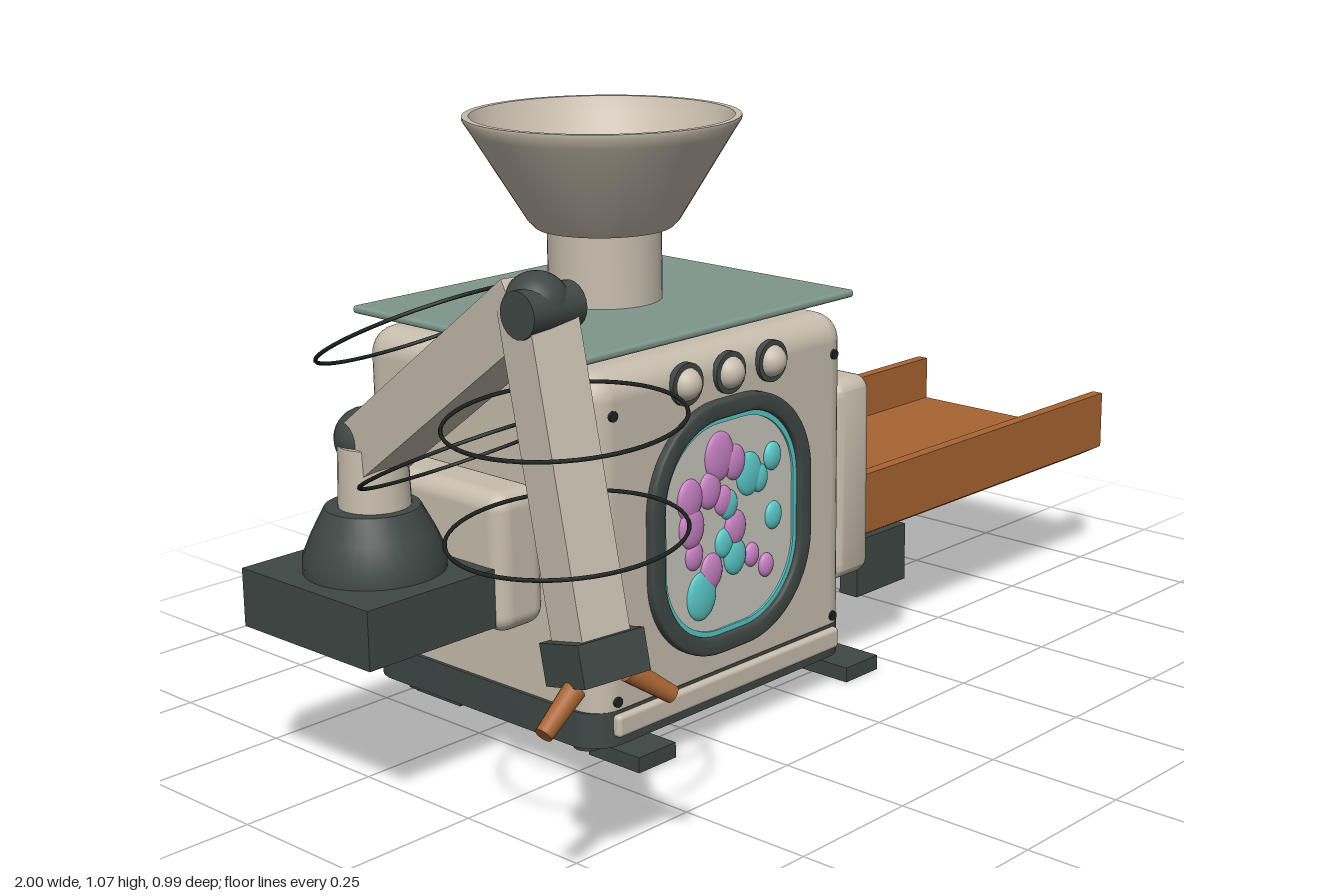
import * as THREE from 'three';
import { toCreasedNormals } from 'three/addons/utils/BufferGeometryUtils.js';
import { RoundedBoxGeometry } from 'three/addons/geometries/RoundedBoxGeometry.js';

const mat = (name, color, side = THREE.FrontSide) => {
  const m = new THREE.MeshStandardMaterial({ color, side });
  m.name = name;
  return m;
};

// Rounded rectangle outline centred on (cx, cy)
function roundRect(cx, cy, w, h, r, Type = THREE.Shape) {
  const s = new Type(), x = w / 2 - r, y = h / 2 - r;
  s.absarc(cx + x, cy + y, r, 0, Math.PI / 2);
  s.absarc(cx - x, cy + y, r, Math.PI / 2, Math.PI);
  s.absarc(cx - x, cy - y, r, Math.PI, Math.PI * 1.5);
  s.absarc(cx + x, cy - y, r, Math.PI * 1.5, Math.PI * 2);
  s.closePath();
  return s;
}

function extrude(shape, depth, bevel = 0) {
  const g = new THREE.ExtrudeGeometry(shape, {
    depth: depth - 2 * bevel, curveSegments: 10, bevelEnabled: bevel > 0,
    bevelSize: bevel, bevelThickness: bevel, bevelOffset: -bevel, bevelSegments: 3,
  });
  g.translate(0, 0, bevel);
  return toCreasedNormals(g, 0.6);
}

function ringShape(cx, cy, w, h, r, t) {
  const s = roundRect(cx, cy, w, h, r);
  s.holes.push(roundRect(cx, cy, w - 2 * t, h - 2 * t, r - t, THREE.Path));
  return s;
}

export function createModel() {
  const model = new THREE.Group();
  const beige = mat('beige', 0xc8beae, THREE.DoubleSide);
  const dark = mat('charcoal', 0x3f4745);
  const teal = mat('sage', 0x7f978d);
  const orange = mat('copper', 0xa86432);
  const cyan = mat('cyan', 0x5bc8c8);
  const pink = mat('pink', 0xc882c4);
  const black = mat('black', 0x1e2423);
  const pane = mat('pane', 0xc9c8be);

  const add = (name, geo, material, x = 0, y = 0, z = 0, parent = model) => {
    const m = new THREE.Mesh(geo, material);
    m.name = name;
    m.position.set(x, y, z);
    parent.add(m);
    return m;
  };
  const box = (name, w, h, d, material, x, y, z) =>
    add(name, new THREE.BoxGeometry(w, h, d), material, x, y, z);
  const rbox = (name, w, h, d, r, material, x, y, z) =>
    add(name, new RoundedBoxGeometry(w, h, d, 4, r), material, x, y, z);
  // Bar or rod running between two points
  const bar = (name, a, b, w, t, material, round = false) => {
    const from = new THREE.Vector3(...a), to = new THREE.Vector3(...b);
    const len = from.distanceTo(to);
    const g = round ? new THREE.CylinderGeometry(t, w, len, 12).rotateX(Math.PI / 2)
      : new THREE.BoxGeometry(w, t, len);
    const m = add(name, g, material);
    m.position.copy(from).lerp(to, 0.5);
    m.lookAt(to);
    return m;
  };

  const CX = -0.214, CZ = -0.2;

  // Main housing, base skirt and lid
  rbox('housing', 0.642, 0.632, 0.572, 0.05, beige, CX, 0.391, CZ);
  const skirt = roundRect(0, 0, 0.655, 0.58, 0.06);
  skirt.holes.push(roundRect(0, 0, 0.56, 0.48, 0.04, THREE.Path));
  add('baseSkirt', extrude(skirt, 0.063).rotateX(-Math.PI / 2), dark, CX, 0.067, CZ - 0.003);
  rbox('basePlate', 0.57, 0.04, 0.025, 0.008, beige, CX, 0.104, 0.086);
  rbox('lid', 0.67, 0.014, 0.572, 0.006, teal, CX, 0.737, CZ);

  // Side panels on both flanks
  for (const x of [0.105, -0.533]) {
    const g = extrude(roundRect(0, 0, 0.242, 0.51, 0.018), 0.006).rotateY(Math.PI / 2);
    add('sidePanel', g, teal, x - 0.001, 0.385, -0.202);
  }

  // Hopper
  add('hopperNeck', new THREE.CylinderGeometry(0.1, 0.1, 0.18, 40), beige, CX, 0.785, -0.203);
  const profile = [[0.1, 0.872], [0.12, 0.872], [0.133, 0.885], [0.228, 1.04], [0.241, 1.06],
    [0.241, 1.066], [0.229, 1.066], [0.216, 1.035], [0.125, 0.9], [0.1, 0.872]];
  add('hopperFunnel', toCreasedNormals(new THREE.LatheGeometry(
    profile.map(p => new THREE.Vector2(...p)), 48), 0.6), beige, CX, 0, -0.203);

  // Feet and floor pads
  for (const z of [-0.017, -0.443]) for (const x of [-0.46, 0.032])
    add('foot', new THREE.CylinderGeometry(0.033, 0.026, 0.042, 16), dark, x, 0.05, z);
  for (const z of [0.024, -0.427]) for (const x of [-0.395, 0.155])
    box('floorPad', 0.09, 0.028, 0.12, dark, x, 0.014, z);

  // Viewing window
  const wx = CX, wy = 0.39;
  add('windowFrame', extrude(ringShape(wx, wy, 0.405, 0.45, 0.17, 0.032), 0.022, 0.005), dark, 0, 0, 0.08);
  add('windowTrim', extrude(ringShape(wx, wy, 0.343, 0.388, 0.14, 0.01), 0.008), cyan, 0, 0, 0.084);
  add('windowPane', extrude(roundRect(wx, wy, 0.33, 0.375, 0.132), 0.004), pane, 0, 0, 0.084);

  // Candies behind the window: x, y, radius across
  const candies = [
    [pink, [[-0.24, 0.515, 0.036], [-0.315, 0.455, 0.03], [-0.312, 0.405, 0.03], [-0.265, 0.46, 0.027],
      [-0.203, 0.497, 0.026], [-0.203, 0.38, 0.026], [-0.262, 0.315, 0.027], [-0.16, 0.32, 0.018],
      [-0.123, 0.292, 0.018], [-0.305, 0.353, 0.021], [-0.232, 0.435, 0.022]]],
    [cyan, [[-0.287, 0.277, 0.036], [-0.166, 0.468, 0.032], [-0.106, 0.487, 0.021], [-0.102, 0.378, 0.021],
      [-0.219, 0.425, 0.022], [-0.204, 0.328, 0.027], [-0.23, 0.358, 0.022], [-0.14, 0.455, 0.021]]],
  ];
  for (const [material, list] of candies)
    list.forEach(([x, y, r], i) =>
      add('candy', new THREE.SphereGeometry(1, 18, 12), material, x, y, 0.088 + (i % 3) * 0.001)
        .scale.set(r, r * 1.22, 0.01));

  // Control knobs
  for (const x of [-0.32, CX, -0.107]) {
    add('knobCollar', new THREE.CylinderGeometry(0.037, 0.037, 0.012, 24).rotateX(Math.PI / 2), dark, x, 0.657, 0.088);
    add('knob', new THREE.SphereGeometry(0.029, 20, 14), beige, x, 0.657, 0.087);
  }

  // Screws front and back
  for (const z of [0.086, -0.486]) for (const x of [-0.49, 0.064]) for (const y of [0.636, 0.145])
    add('screw', new THREE.CylinderGeometry(0.009, 0.009, 0.008, 12).rotateX(Math.PI / 2), black, x, y, z);

  // Outlet frame on the left flank (outline x runs towards -z)
  const frame = roundRect(0.201, 0.38, 0.532, 0.38, 0.03);
  const hole = new THREE.Path();
  hole.moveTo(-0.017, 0.214).lineTo(-0.017, 0.54).lineTo(0.42, 0.54).lineTo(0.42, 0.214).closePath();
  frame.holes.push(hole);
  add('outletFrame', extrude(frame, 0.092, 0.018).rotateY(Math.PI / 2), beige, 0.106);
  bar('outletFlap', [0.165, 0.545, -0.202], [0.25, 0.39, -0.202], 0.285, 0.012, orange);

  // Delivery chute: U profile with chamfered lower edges
  const chute = new THREE.Shape([[-0.04, 0.37], [-0.04, 0.255], [0.012, 0.226], [0.39, 0.226],
    [0.445, 0.255], [0.445, 0.37], [0.422, 0.37], [0.422, 0.28], [-0.017, 0.28], [-0.017, 0.37]]
    .map(p => new THREE.Vector2(...p)));
  add('chute', new THREE.ExtrudeGeometry(chute, { depth: 0.785, bevelEnabled: false })
    .rotateY(Math.PI / 2), orange, 0.215);
  for (const z of [-0.003, -0.402]) {
    box('chuteSupport', 0.145, 0.112, 0.042, dark, 0.292, 0.178, z);
    box('chuteTab', 0.03, 0.025, 0.03, orange, 0.205, 0.23, z);
  }

  // Arm mount on the right flank
  rbox('armMount', 0.105, 0.24, 0.35, 0.03, beige, -0.585, 0.39, -0.205);
  box('armBase', 0.265, 0.1, 0.315, dark, -0.768, 0.335, -0.203);
  const turret = [[0, 0.38], [0.117, 0.38], [0.117, 0.41], [0.1, 0.45], [0.078, 0.492], [0, 0.492]];
  add('armTurret', toCreasedNormals(new THREE.LatheGeometry(
    turret.map(p => new THREE.Vector2(...p)), 32), 0.6), dark, -0.755, 0, CZ);
  add('armColumn', new THREE.CylinderGeometry(0.056, 0.06, 0.11, 28), beige, -0.75, 0.54, CZ);

  // Jointed arm
  const shoulder = [-0.75, 0.585, -0.2], elbow = [-0.81, 0.9, 0.257], wrist = [-0.825, 0.415, 0.372];
  add('shoulderJoint', new THREE.SphereGeometry(0.052, 24, 16), dark, -0.75, 0.6, -0.215);
  bar('upperArm', shoulder, elbow, 0.085, 0.095, beige);
  add('elbowJoint', new THREE.SphereGeometry(0.05, 24, 16), dark, ...elbow);
  add('elbowPin', new THREE.CylinderGeometry(0.036, 0.036, 0.104, 20).rotateZ(Math.PI / 2), dark, -0.81, 0.895, 0.272);
  bar('lowerArm', elbow, wrist, 0.087, 0.077, beige);
  bar('wristBlock', [-0.824, 0.428, 0.37], [-0.826, 0.365, 0.385], 0.12, 0.097, dark);
  bar('finger', [-0.875, 0.362, 0.385], [-0.945, 0.315, 0.392], 0.018, 0.014, orange, true);
  bar('finger', [-0.77, 0.362, 0.39], [-0.706, 0.312, 0.418], 0.018, 0.014, orange, true);

  // Wire hoops around both arm sections
  const hoop = (x, y, z, rx, rz) => {
    const g = new THREE.TorusGeometry(0.178, 0.0032, 6, 56).rotateX(Math.PI / 2);
    add('wireHoop', g, black, x, y, z).rotation.set(rx, 0, rz);
  };
  hoop(-0.815, 0.74, 0.315, 0, 0.077);
  hoop(-0.815, 0.569, 0.315, 0, 0.077);
  hoop(-0.78, 0.825, -0.018, -0.467, 0);
  hoop(-0.78, 0.642, 0.072, -0.467, 0);

  return model;
}
